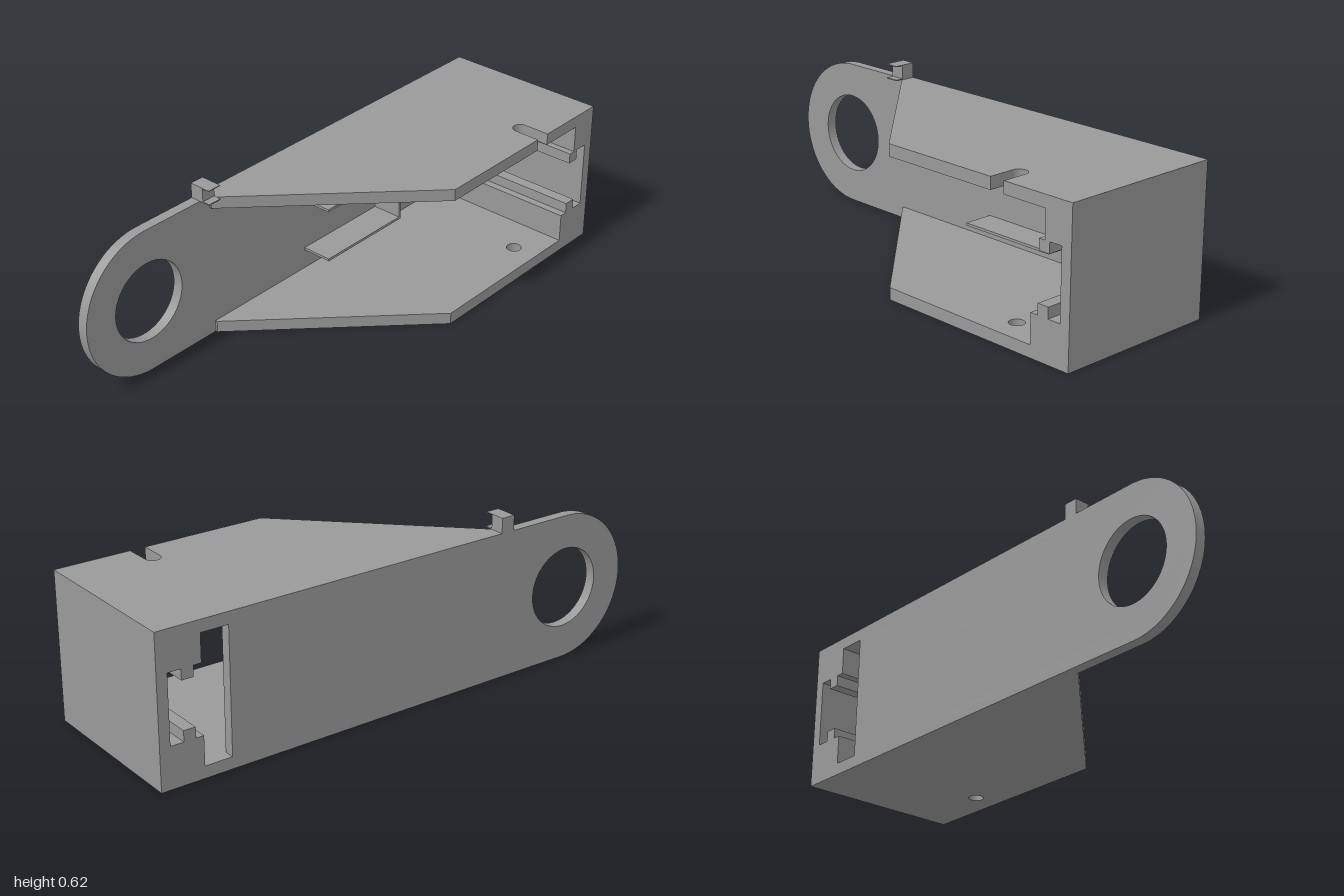
import * as THREE from 'three';

const grey = new THREE.MeshStandardMaterial({ color: 0x999999 });
grey.name = 'grey';

const H = 0.558, T = 0.045;          // body height, shelf thickness
const BACK = -0.32, INNER = -0.28, FRONT = 0.32;

const toShape = (pts) => new THREE.Shape(pts.map(([x, y]) => new THREE.Vector2(x, y)));

function circleHole(x, y, r) {
  const path = new THREE.Path();
  path.absarc(x, y, r, 0, Math.PI * 2, true);
  return path;
}

export function createModel() {
  const group = new THREE.Group();

  const add = (name, geometry) => {
    const mesh = new THREE.Mesh(geometry, grey);
    mesh.name = name;
    group.add(mesh);
    return mesh;
  };
  const extrude = (shape, depth) =>
    new THREE.ExtrudeGeometry(shape, { depth, bevelEnabled: false, curveSegments: 40 });
  // outline in x/y, running from z0 to z1
  const along = (name, shape, z0, z1) => add(name, extrude(shape, z1 - z0).translate(0, 0, z0));
  // outline in x/z, running from y0 to y1
  const upright = (name, shape, y0, y1) =>
    add(name, extrude(shape, y1 - y0).rotateX(Math.PI / 2).translate(0, y1, 0));
  const box = (name, x0, x1, y0, y1, z0, z1) =>
    add(name, new THREE.BoxGeometry(x1 - x0, y1 - y0, z1 - z0)
      .translate((x0 + x1) / 2, (y0 + y1) / 2, (z0 + z1) / 2));

  // back plate with rounded end, round hole and stepped window
  const r = H / 2;
  const plate = new THREE.Shape();
  plate.moveTo(-1 + r, 0);
  plate.lineTo(1, 0);
  plate.lineTo(1, H);
  plate.lineTo(-1 + r, H);
  plate.absarc(-1 + r, r, r, Math.PI / 2, Math.PI * 1.5, false);
  plate.holes.push(circleHole(-1 + r, r, 0.152));
  const lowerSteps = [
    [0.835, T], [0.835, 0.155], [0.865, 0.155], [0.865, 0.195],
    [0.91, 0.195], [0.91, 0.155], [0.96, 0.155],
  ];
  const upperSteps = [
    [0.96, 0.41], [0.91, 0.41], [0.91, 0.37], [0.865, 0.37],
    [0.865, 0.41], [0.835, 0.41], [0.835, H - T],
  ];
  plate.holes.push(toShape([[0.73, T], ...lowerSteps, ...upperSteps, [0.73, H - T]]));
  along('backPlate', plate, BACK, INNER);

  // bottom shelf with a small drilled hole
  const bottom = toShape([[-0.42, INNER], [1, INNER], [1, FRONT], [0.172, FRONT], [-0.42, -0.272]]);
  bottom.holes.push(circleHole(0.68, 0.22, 0.028));
  upright('bottomShelf', bottom, 0, T);

  // top shelf with a round-ended slot open to the front
  const top = new THREE.Shape();
  top.moveTo(-0.42, INNER);
  top.lineTo(1, INNER);
  top.lineTo(1, FRONT);
  top.lineTo(0.709, FRONT);
  top.lineTo(0.709, 0.22);
  top.absarc(0.68, 0.22, 0.029, 0, Math.PI, true);
  top.lineTo(0.651, FRONT);
  top.lineTo(0.172, FRONT);
  top.lineTo(-0.42, -0.272);
  upright('topShelf', top, H - T, H);

  // end wall and the stepped rails beside it
  box('endWall', 0.96, 1, T, H - T, INNER, FRONT);
  along('lowerRail', toShape([...lowerSteps, [0.96, T]]), INNER, FRONT);
  const notch = 0.02;
  along('upperRail', toShape([...upperSteps, [0.96, H - T]]), INNER, notch);
  along('upperRailFront', toShape([
    [0.96, 0.41], [0.91, 0.41], [0.91, 0.37], [0.865, 0.37], [0.865, 0.41],
    [0.835, 0.41], [0.89, 0.41], [0.89, H - T], [0.96, H - T],
  ].filter(([x]) => x !== 0.835)), notch, FRONT);

  // U-shaped rib on the inside of the back plate
  along('innerRib', toShape([
    [0.05, 0.122], [0.46, 0.122], [0.46, 0.342], [0.05, 0.342],
    [0.05, 0.332], [0.45, 0.332], [0.45, 0.132], [0.05, 0.132],
  ]), INNER, -0.16);

  // small catch on the top edge with two thin lips
  box('catchBlock', -0.465, -0.41, H, 0.615, BACK, -0.265);
  box('catchUpperLip', -0.465, -0.41, 0.612, 0.615, -0.265, -0.235);
  box('catchLowerLip', -0.465, -0.41, H, 0.562, -0.265, -0.235);

  return group;
}
